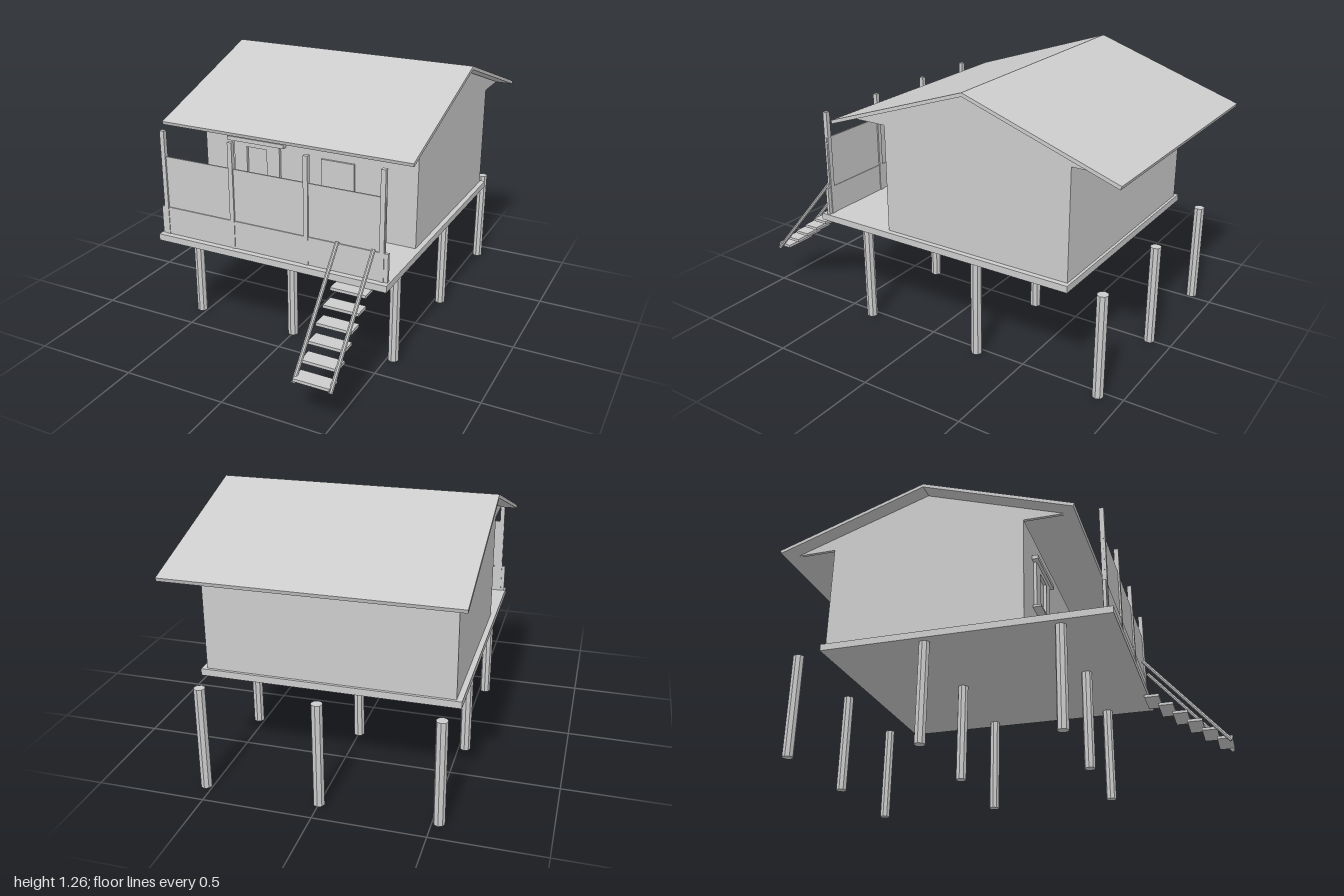
import * as THREE from 'three';

export function createModel() {
  const root = new THREE.Group();
  root.name = 'stiltHouse';
  const grey = new THREE.MeshStandardMaterial({ color: 0xcccccc, flatShading: true });
  grey.name = 'plain grey';

  const add = (name, geometry, x = 0, y = 0, z = 0) => {
    const mesh = new THREE.Mesh(geometry, grey);
    mesh.name = name;
    mesh.position.set(x, y, z);
    root.add(mesh);
    return mesh;
  };
  // box given by its limits on each axis
  const box = (name, [x0, x1], [y0, y1], [z0, z1]) =>
    add(name, new THREE.BoxGeometry(x1 - x0, y1 - y0, z1 - z0), (x0 + x1) / 2, (y0 + y1) / 2, (z0 + z1) / 2);
  // outline of [z, y] points, extruded across x and centred on x
  const slab = (name, points, width, x = 0) => {
    const shape = new THREE.Shape(points.map(([z, y]) => new THREE.Vector2(z, y)));
    const geometry = new THREE.ExtrudeGeometry(shape, { depth: width, bevelEnabled: false });
    geometry.translate(0, 0, -width / 2).rotateY(-Math.PI / 2);
    return add(name, geometry, x);
  };

  // stilts
  for (const x of [-0.53, 0, 0.53])
    for (const z of [0.355, -0.27, -0.893])
      add('stilt', new THREE.CylinderGeometry(0.026, 0.026, 0.49, 8), x, 0.245, z);

  // deck
  box('deck', [-0.585, 0.585], [0.478, 0.51], [-0.757, 0.595]);

  // house walls; the side walls widen into the gables
  const ridge = -0.272;
  const front = 0.2, back = -0.744;
  for (const side of [-1, 1]) {
    slab('sideWall', [
      [front, 0.51], [front, 1.022], [0.39, 1.022], [ridge, 1.245],
      [-0.934, 1.022], [back, 1.022], [back, 0.51],
    ], 0.015, side * 0.5525);
  }
  box('frontWall', [-0.545, 0.545], [0.51, 1.022], [front - 0.015, front]);
  box('backWall', [-0.545, 0.545], [0.51, 1.022], [back, back + 0.015]);

  // roof
  slab('roof', [
    [0.452, 1.02], [ridge, 1.265], [-0.996, 1.02],
    [-0.991, 1.004], [ridge, 1.248], [0.447, 1.004],
  ], 1.264);

  // window frame, head and sill
  const frame = new THREE.Shape([[-0.39, 0.66], [-0.14, 0.66], [-0.14, 0.895], [-0.39, 0.895]]
    .map(([x, y]) => new THREE.Vector2(x, y)));
  frame.holes.push(new THREE.Path([[-0.32, 0.69], [-0.32, 0.87], [-0.21, 0.87], [-0.21, 0.69]]
    .map(([x, y]) => new THREE.Vector2(x, y))));
  add('windowFrame', new THREE.ExtrudeGeometry(frame, { depth: 0.015, bevelEnabled: false }), 0, 0, front);
  box('windowHead', [-0.42, -0.11], [0.895, 0.915], [front, 0.23]);
  box('windowSill', [-0.41, -0.12], [0.65, 0.661], [front, 0.24]);

  // door
  box('door', [0.08, 0.25], [0.51, 0.87], [front, 0.21]);

  // porch posts, parapet and screens
  const posts = [-0.55, -0.188, 0.188, 0.548];
  for (const x of posts) box('porchPost', [x - 0.011, x + 0.011], [0.51, 1.02], [0.548, 0.57]);
  box('parapet', [-0.578, 0.578], [0.51, 0.645], [0.552, 0.567]);
  box('porchScreen', [-0.562, 0.562], [0.645, 0.895], [0.555, 0.562]);

  // ladder stair
  for (let i = 0; i < 6; i++) {
    const z = 0.955 - i * 0.068, y = 0.214 + i * 0.051;
    box('stairTread', [0.348, 0.516], [y - 0.007, y + 0.007], [z - 0.037, z + 0.037]);
  }
  const low = new THREE.Vector3(0, 0.195, 0.985), high = new THREE.Vector3(0, 0.662, 0.582);
  const run = high.clone().sub(low);
  for (const x of [0.348, 0.517]) {
    const middle = low.clone().lerp(high, 0.5);
    const rail = add('stairRail', new THREE.CylinderGeometry(0.01, 0.01, run.length(), 8), x, middle.y, middle.z);
    rail.quaternion.setFromUnitVectors(new THREE.Vector3(0, 1, 0), run.clone().normalize());
  }

  return root;
}
